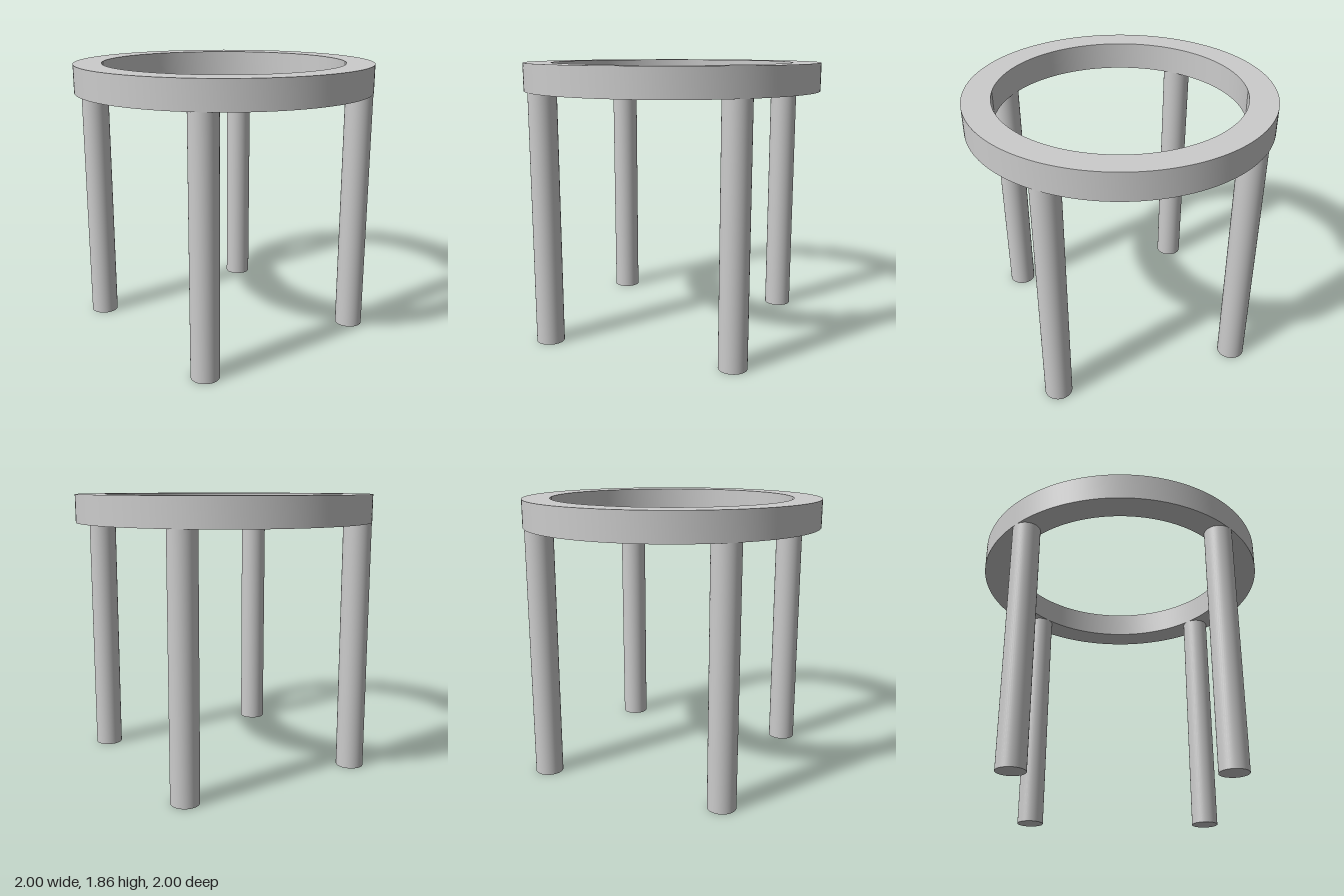
import * as THREE from 'three';
import { toCreasedNormals } from 'three/addons/utils/BufferGeometryUtils.js';

const OUTER = 1;
const THICK = 0.185; // ring width, ring height and leg diameter
const LEG_HEIGHT = 1.67;

export function createModel() {
  const group = new THREE.Group();
  const material = new THREE.MeshStandardMaterial({ color: 0xcccccc });

  // Flat ring with a square section
  const outline = new THREE.Shape();
  outline.absarc(0, 0, OUTER, 0, Math.PI * 2, false);
  const hole = new THREE.Path();
  hole.absarc(0, 0, OUTER - THICK, 0, Math.PI * 2, true);
  outline.holes.push(hole);
  const ringGeometry = new THREE.ExtrudeGeometry(outline, {
    depth: THICK,
    bevelEnabled: false,
    curveSegments: 96,
  });
  ringGeometry.rotateX(-Math.PI / 2);
  const ring = new THREE.Mesh(toCreasedNormals(ringGeometry, Math.PI / 5), material);
  ring.name = 'seatRing';
  ring.position.y = LEG_HEIGHT;
  group.add(ring);

  // Four round legs under the middle of the ring, on the diagonals
  const legGeometry = new THREE.CylinderGeometry(THICK / 2, THICK / 2, LEG_HEIGHT, 48);
  const offset = (OUTER - THICK / 2) * Math.SQRT1_2;
  for (const [zName, z] of [['front', 1], ['back', -1]]) {
    for (const [xName, x] of [['Left', 1], ['Right', -1]]) {
      const leg = new THREE.Mesh(legGeometry, material);
      leg.name = `${zName}${xName}Leg`;
      leg.position.set(x * offset, LEG_HEIGHT / 2, z * offset);
      group.add(leg);
    }
  }

  return group;
}
